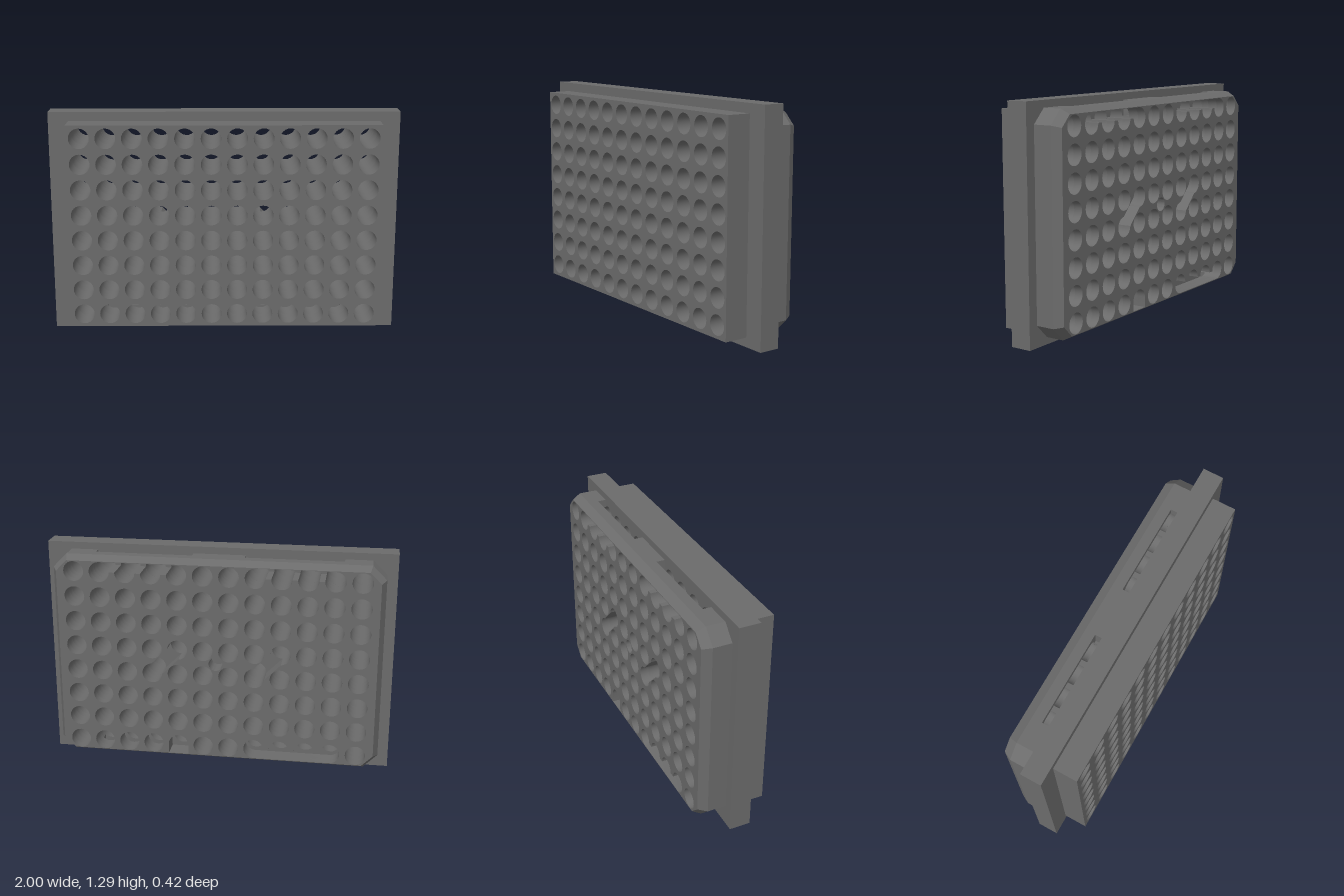
import * as THREE from 'three';
import { toCreasedNormals } from 'three/addons/utils/BufferGeometryUtils.js';

const P = 0.1476;             // hole pitch
const R = 0.058;              // hole radius
const ROW = 3.5 * P;          // outermost row, from the centre
const MID = 0.645;            // height of the centre
const colX = i => (i - 5.5) * P;
const rowY = j => (j - 3.5) * P;
const V = (x, y) => new THREE.Vector2(x, y);

function arc(cx, cy, r, a0, a1, n) {
  const pts = [];
  for (let k = 0; k <= n; k++) {
    const a = a0 + (a1 - a0) * k / n;
    pts.push(V(cx + r * Math.cos(a), cy + r * Math.sin(a)));
  }
  return pts;
}

const circle = (x, y, r = R) => arc(x, y, r, 0, Math.PI * 2, 24).slice(0, -1);

const rect = (w, h) => [V(w, -h), V(w, h), V(-w, h), V(-w, -h)];

// Slot floor dipping through four holes of the outermost row; a0 and a1 shape its ends
function dips(a0, a1) {
  return [10, 9, 8, 7].flatMap(i =>
    arc(colX(i), ROW, R, i === 10 ? a0 : 0, i === 7 ? a1 : -Math.PI, 16));
}

const flip = (pts, sx, sy) => pts.map(p => V(p.x * sx, p.y * sy));

// Repeat one quarter of an outline in all four quadrants
const fourfold = q => [
  ...q, ...flip(q, -1, 1).reverse(), ...flip(q, -1, -1), ...flip(q, 1, -1).reverse(),
];

// Diagonal groove joining two neighbouring holes
function joinedHoles(i) {
  const phi = Math.asin(0.044 / R), d = Math.PI * 0.75;
  return [
    ...arc(colX(i), rowY(3), R, d + phi, d - phi + Math.PI * 2, 20),
    ...arc(colX(i - 1), rowY(4), R, d - Math.PI + phi, d + Math.PI - phi, 20),
  ];
}

function grid(skip = () => false) {
  const holes = [];
  for (let i = 0; i < 12; i++)
    for (let j = 0; j < 8; j++)
      if (!skip(i, j)) holes.push(circle(colX(i), rowY(j)));
  return holes;
}

// Sloping band between two outlines
function band(inner, zInner, outer, zOuter) {
  const pos = [];
  for (let k = 0; k < inner.length; k++) {
    const n = (k + 1) % inner.length;
    const a = [inner[k].x, inner[k].y, zInner], b = [inner[n].x, inner[n].y, zInner];
    const c = [outer[n].x, outer[n].y, zOuter], d = [outer[k].x, outer[k].y, zOuter];
    pos.push(...a, ...b, ...c, ...a, ...c, ...d);
  }
  const geo = new THREE.BufferGeometry();
  geo.setAttribute('position', new THREE.Float32BufferAttribute(pos, 3));
  geo.computeVertexNormals();
  return geo;
}

export function createModel() {
  const group = new THREE.Group();
  const material = new THREE.MeshStandardMaterial({ color: 0x6b6b6b });

  function add(name, geo, z) {
    const mesh = new THREE.Mesh(geo, material);
    mesh.name = name;
    mesh.position.set(0, MID, z);
    group.add(mesh);
  }

  function slab(name, outline, holes, z0, z1) {
    const shape = new THREE.Shape(outline);
    shape.holes = holes.map(h => new THREE.Path(h));
    const geo = new THREE.ExtrudeGeometry(shape, { depth: z1 - z0, bevelEnabled: false });
    add(name, toCreasedNormals(geo, 0.5), z0);
  }

  // Front block and flange
  slab('frontBlock', rect(0.885, 0.592), grid(), 0.07, 0.21);
  slab('flange', rect(1, MID), grid(), -0.052, 0.07);

  // Back block base, notched along its top and bottom edges
  const inSlot = i => (i >= 1 && i <= 4) || (i >= 7 && i <= 10);
  const corner = [V(0.94, 0.525), V(0.86, 0.605)];
  const notch = [
    V(0.705, 0.605), ...dips(Math.PI / 4, -Math.PI), V(0.15, ROW), V(0.15, 0.605),
  ];
  slab('backBase', fourfold([...corner, ...notch]),
    grid((i, j) => (j === 0 || j === 7) && inSlot(i)), -0.1, -0.052);

  // Back block body, with slots, diagonal grooves and a centre hole
  const slot = dips(Math.PI / 2, -Math.PI * 1.5);
  const shortSlot = [
    ...arc(colX(7), ROW, R, 0, -Math.PI, 12), V(colX(7) - R, 0.575), V(colX(7) + R, 0.575),
  ];
  const backHoles = [
    ...grid((i, j) =>
      (j === 7 && inSlot(i)) ||
      (j === 0 && ((i >= 1 && i <= 4) || i === 7)) ||
      (j === 3 && (i === 8 || i === 4)) ||
      (j === 4 && (i === 7 || i === 3))),
    slot,
    flip(slot, -1, 1),
    flip(slot, -1, -1),
    flip(shortSlot, 1, -1),
    joinedHoles(8),
    joinedHoles(4),
    circle(0, 0, 0.04),
  ];
  const octagon = fourfold(corner);
  const rearOctagon = fourfold([V(0.913, 0.514), V(0.849, 0.578)]);
  slab('backBody', octagon, backHoles, -0.16, -0.1);
  slab('backFace', rearOctagon, backHoles, -0.21, -0.16);
  add('backChamfer', band(rearOctagon, -0.05, octagon, 0), -0.16);

  return group;
}
